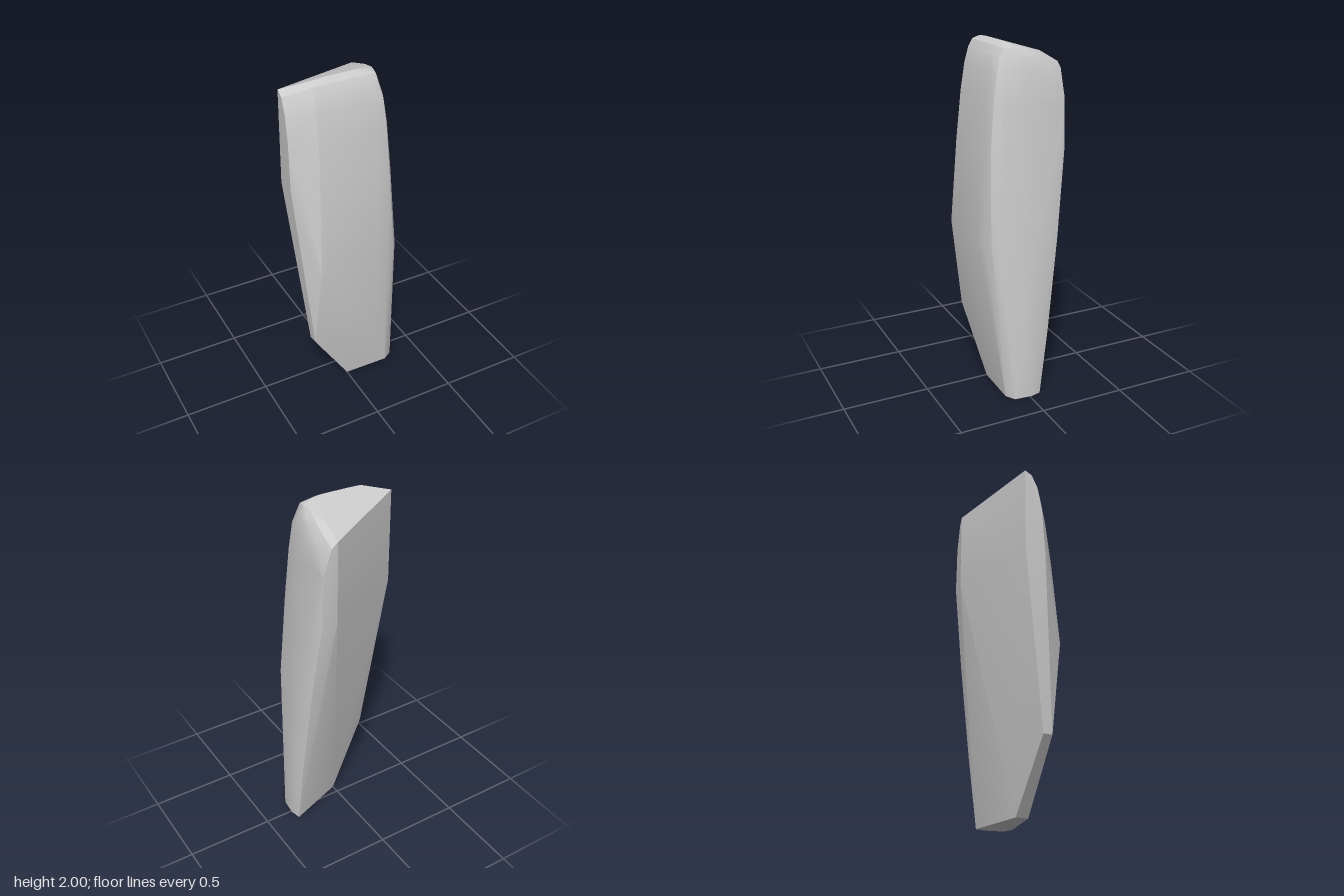
import * as THREE from 'three';
import { ConvexGeometry } from 'three/addons/geometries/ConvexGeometry.js';
import { toCreasedNormals } from 'three/addons/utils/BufferGeometryUtils.js';

// Horizontal cross-sections of the convex block: height, then [x, z] corners
const sections = [
  // foot
  [0, [[0, 0.05], [0, 0.12], [0.27, 0.125], [0.325, 0.09], [0.335, -0.01], [0.32, -0.07]]],
  // lower left corner above the slanted cut
  [0.39, [[-0.245, 0.12], [-0.24, 0.172], [0.33, 0.03], [0.33, -0.06], [0.312, -0.12]]],
  // front ridge
  [0.93, [[-0.225, 0.235], [-0.19, 0.24], [0.14, 0.232], [0.2, 0.22], [0.25, 0.2],
    [0.275, 0.17], [0.29, 0.08], [0.3, -0.05], [0.285, -0.185]]],
  // break in the flat back
  [1.42, [[-0.338, 0], [-0.338, 0.115], [-0.21, 0.2], [0.15, 0.2], [0.215, 0.185],
    [0.24, 0.15], [0.262, 0], [0.245, -0.24], [0.15, -0.24]]],
  // rounded shoulders
  [1.7, [[-0.338, 0.1], [-0.2, 0.173], [0.14, 0.175], [0.2, 0.16], [0.225, 0.12],
    [0.245, 0], [0.24, -0.1], [0.235, -0.24]]],
  [1.85, [[-0.338, 0.075], [-0.2, 0.148], [0.13, 0.15], [0.19, 0.135], [0.215, 0.08],
    [0.228, -0.03], [0.22, -0.14], [0.185, -0.24]]],
  [1.93, [[-0.338, 0.04], [-0.2, 0.125], [0.12, 0.125], [0.17, 0.11], [0.2, 0.05],
    [0.208, -0.03], [0.19, -0.12]]],
];

// Sloping crown and upper rim of the back: [x, y, z]
const crown = [
  [-0.338, 1.955, 0], [0.15, 1.88, -0.24], [0.15, 1.945, -0.13], [0.175, 1.97, -0.03],
  [0.18, 1.977, 0.03], [0.17, 1.97, 0.085], [-0.2, 1.975, 0.1], [0.07, 1.978, 0.1],
  [-0.19, 1.992, 0.06], [-0.1, 1.998, 0.06], [0.06, 2, 0.06], [0.13, 1.993, 0.05],
];

export function createModel() {
  const points = crown.map(([x, y, z]) => new THREE.Vector3(x, y, z));
  for (const [y, ring] of sections)
    for (const [x, z] of ring) points.push(new THREE.Vector3(x, y, z));

  // One solid block, soft across gentle bends and sharp at the cut edges
  const geometry = toCreasedNormals(new ConvexGeometry(points), 0.35);
  const block = new THREE.Mesh(geometry, new THREE.MeshStandardMaterial({ color: 0xcccccc }));
  block.name = 'taperedBlock';

  const model = new THREE.Group();
  model.name = 'facetedBlock';
  model.add(block);
  return model;
}
